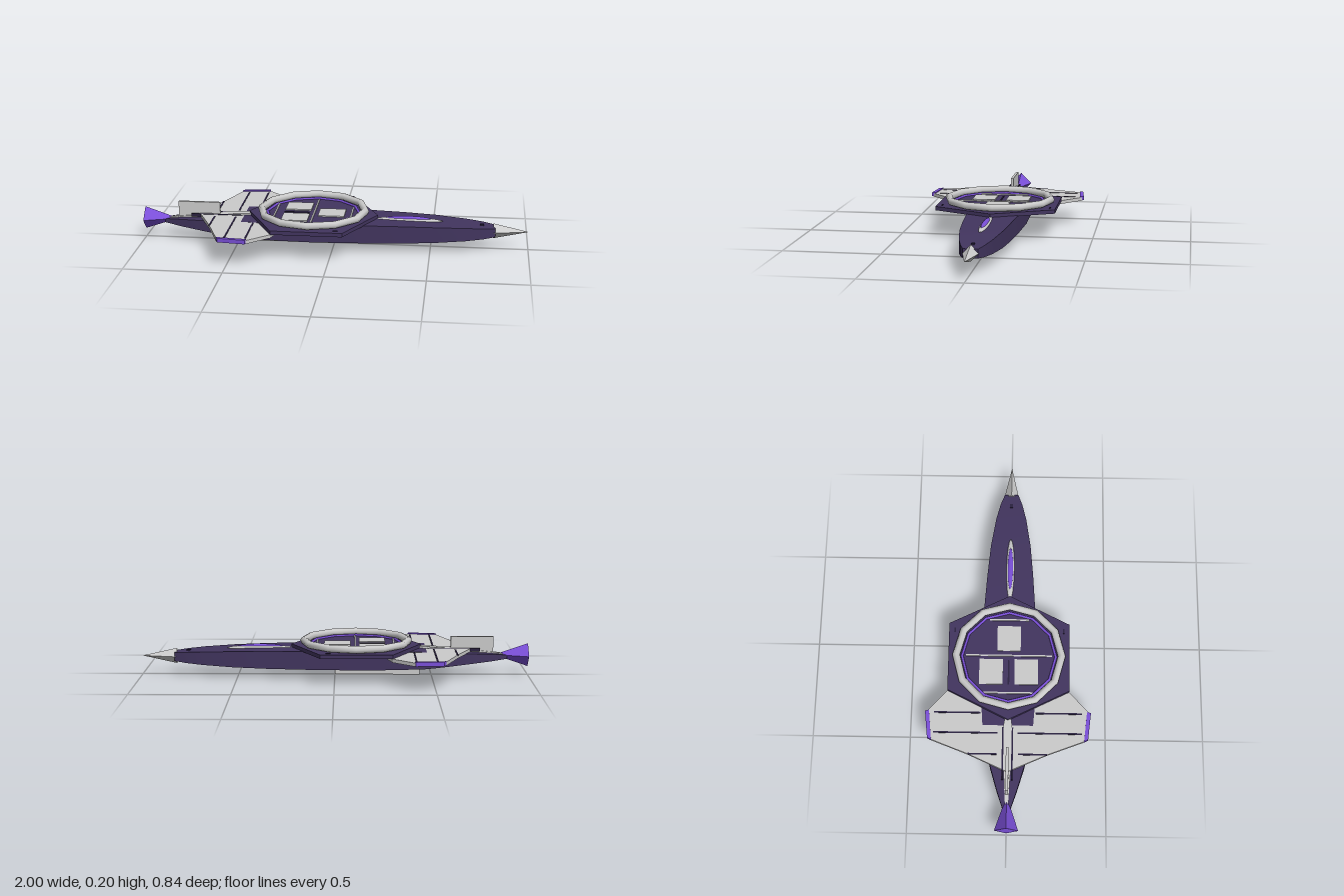
import * as THREE from 'three';
import { toCreasedNormals } from 'three/addons/utils/BufferGeometryUtils.js';

const mat = (color, flatShading = false) => new THREE.MeshStandardMaterial({ color, flatShading });
const HULL = mat(0x42355f), GREY = mat(0xcccccc), GLOW = mat(0x7a4fd8), DARK = mat(0x2a2140);
const GREY_FLAT = mat(0xcccccc, true), GLOW_FLAT = mat(0x7a4fd8, true);
const AXIS_Y = 0.096; // height of the hull's centre line
const RING_X = -0.11; // centre of the deck and its ring

// Box-section body along x; stations are [x, bottom, top, halfWidth]
function loft(stations) {
  const pos = [], idx = [];
  stations.forEach(([x, b, t, w]) => pos.push(x, b, w, x, b, -w, x, t, -w, x, t, w));
  for (let i = 0; i < stations.length - 1; i++) {
    for (let k = 0; k < 4; k++) {
      const a = i * 4 + k, b = i * 4 + (k + 1) % 4;
      idx.push(a, b, b + 4, a, b + 4, a + 4);
    }
  }
  const e = (stations.length - 1) * 4;
  idx.push(e, e + 1, e + 2, e, e + 2, e + 3, 0, 2, 1, 0, 3, 2);
  const g = new THREE.BufferGeometry();
  g.setAttribute('position', new THREE.Float32BufferAttribute(pos, 3));
  g.setIndex(idx);
  return toCreasedNormals(g, 0.6);
}

// Flat plate from an outline of [x, z] points
function plate(points, top, thickness) {
  const shape = new THREE.Shape(points.map(([x, z]) => new THREE.Vector2(x, z)));
  const g = new THREE.ExtrudeGeometry(shape, { depth: thickness, bevelEnabled: false });
  return g.rotateX(Math.PI / 2).translate(0, top, 0);
}

export function createModel() {
  const model = new THREE.Group();
  model.name = 'spaceship';
  const add = (name, geometry, material) => {
    const m = new THREE.Mesh(geometry, material);
    m.name = name;
    model.add(m);
    return m;
  };
  // Box given by its extents
  const box = (name, x0, x1, y0, y1, z0, z1, material) =>
    add(name, new THREE.BoxGeometry(x1 - x0, y1 - y0, z1 - z0), material)
      .position.set((x0 + x1) / 2, (y0 + y1) / 2, (z0 + z1) / 2);

  // Hull: [x, halfHeight, halfWidth]
  const hull = [
    [-0.89, 0.01, 0.02], [-0.8, 0.019, 0.05], [-0.68, 0.028, 0.085], [-0.58, 0.036, 0.108],
    [-0.47, 0.044, 0.128], [-0.3, 0.047, 0.14], [-0.1, 0.048, 0.144], [0.17, 0.047, 0.132],
    [0.35, 0.045, 0.12], [0.52, 0.041, 0.105], [0.68, 0.034, 0.08], [0.77, 0.028, 0.058], [0.83, 0.022, 0.036],
  ];
  add('hull', loft(hull.map(([x, h, w]) => [x, AXIS_Y - h, AXIS_Y + h, w])), HULL);

  // Nose spike and flared engine nozzle, both four-sided
  add('noseCone', new THREE.CylinderGeometry(0, 0.04, 0.18, 4).rotateZ(-Math.PI / 2)
    .translate(0.91, AXIS_Y, 0), GREY_FLAT);
  add('engineNozzle', new THREE.CylinderGeometry(0.012, 0.06, 0.14, 4).rotateZ(-Math.PI / 2)
    .translate(-0.93, 0.104, 0), GLOW_FLAT);

  // Spine, fin and keel
  add('spine', loft([[-0.88, 0.095, 0.112, 0.007], [-0.7, 0.1, 0.134, 0.018],
    [-0.47, 0.12, 0.15, 0.021], [-0.38, 0.12, 0.152, 0.008]]), GREY);
  box('tailFin', -0.82, -0.6, 0.115, 0.2, -0.007, 0.007, GREY);
  box('keel', -0.44, 0, 0, 0.06, -0.007, 0.007, GREY);

  // Wings with coloured tips and dark panel lines
  for (const s of [1, -1]) {
    const side = s > 0 ? 'left' : 'right';
    const outline = pts => pts.map(([x, z]) => [x, z * s]);
    add(side + 'Wing', plate(outline([[-0.71, 0], [-0.62, 0.2], [-0.545, 0.395], [-0.4, 0.412],
      [-0.29, 0.31], [-0.2, 0]]), 0.14, 0.018), GREY);
    add(side + 'WingTip', plate(outline([[-0.55, 0.385], [-0.54, 0.405], [-0.4, 0.42],
      [-0.395, 0.4]]), 0.145, 0.021), GLOW);
    [[-0.62, 0.055, 0.2], [-0.51, 0.05, 0.375], [-0.405, 0.14, 0.375]].forEach(([x, a, b]) =>
      box(side + 'WingLine', x - 0.004, x + 0.004, 0.135, 0.142, Math.min(a * s, b * s), Math.max(a * s, b * s), DARK));
    box(side + 'SpineGroove', -0.75, -0.48, 0.125, 0.142, s * 0.024 - 0.004, s * 0.024 + 0.004, DARK);
    box(side + 'DeckPort', 0.02, 0.045, 0.155, 0.163, s * 0.28 - 0.004, s * 0.28 + 0.004, DARK);
  }

  // Hexagonal deck
  add('deck', plate([[-0.445, 0], [-0.29, 0.31], [0.07, 0.31], [0.225, 0], [0.07, -0.31], [-0.29, -0.31]],
    0.16, 0.02), HULL);

  // Raised ring with a thin glowing rim inside
  const ring = (name, radius, tube, y, material) =>
    add(name, new THREE.TorusGeometry(radius, tube, 8, 12).rotateX(Math.PI / 2).translate(RING_X, y, 0), material);
  ring('deckRing', 0.27, 0.0195, 0.178, GREY);
  ring('glowRing', 0.24, 0.007, 0.163, GLOW);

  // Deck panels and dividing strips
  [[-0.26, -0.125, -0.15, -0.03], [-0.26, -0.125, 0.03, 0.15], [-0.08, 0.055, -0.06, 0.06]].forEach(
    ([x0, x1, z0, z1]) => box('deckPanel', x0, x1, 0.158, 0.166, z0, z1, GREY));
  [[-0.305, 0.13], [-0.105, 0.22], [0.09, 0.1]].forEach(([x, z]) =>
    box('deckStrip', x - 0.004, x + 0.004, 0.158, 0.166, -z, z, GREY));
  box('deckSlot', -0.26, -0.13, 0.158, 0.163, -0.004, 0.004, DARK);

  // Canopy: long faired base with a coloured blister
  const blister = (name, x, y, sx, sy, sz, material) =>
    add(name, new THREE.SphereGeometry(1, 16, 10).scale(sx, sy, sz).translate(x, y, 0), material);
  blister('canopyBase', 0.38, 0.138, 0.18, 0.014, 0.021, GREY);
  blister('canopy', 0.385, 0.147, 0.12, 0.012, 0.014, GLOW);
  box('noseSensor', 0.75, 0.77, 0.115, 0.13, -0.008, 0.008, DARK);

  return model;
}
